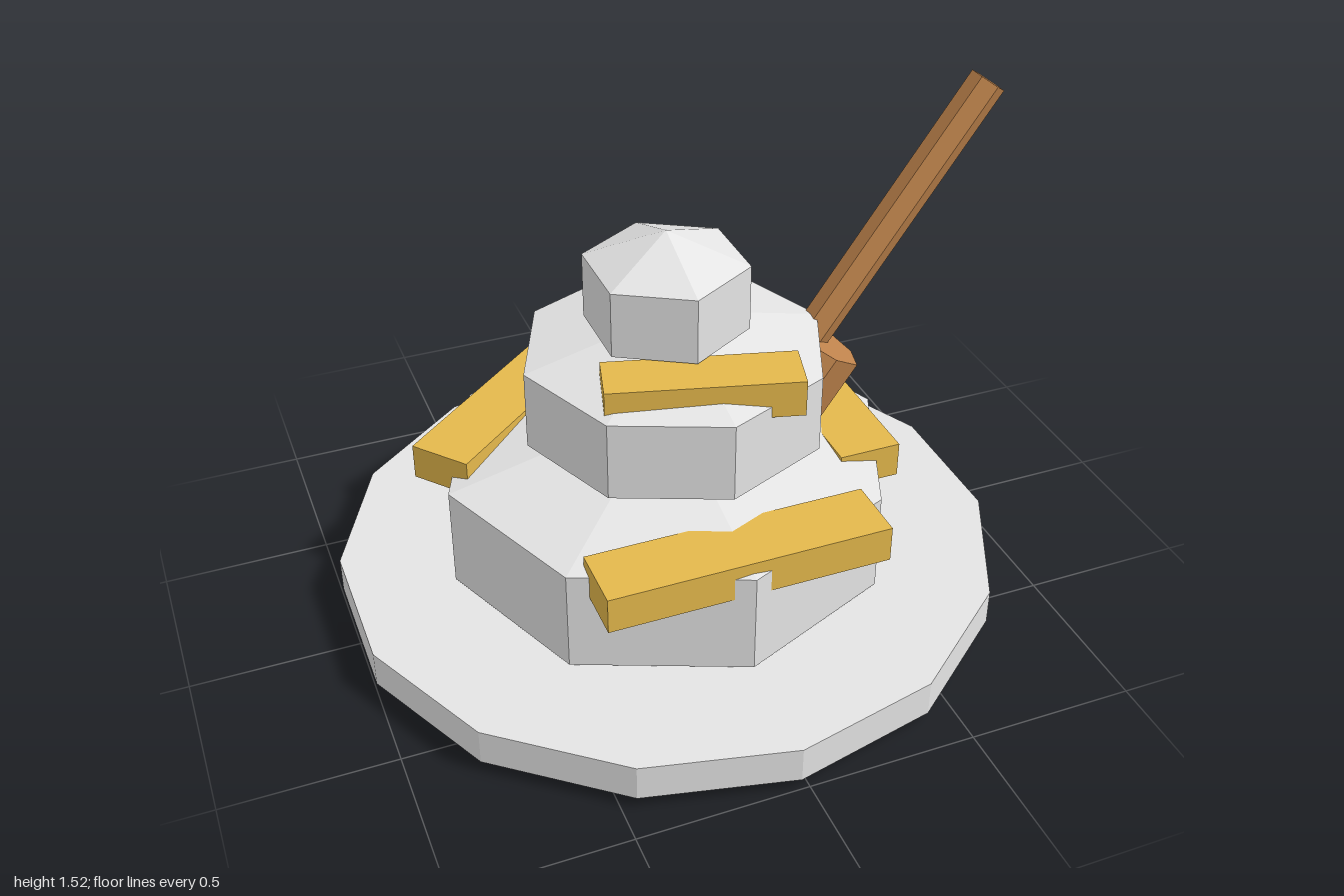
import * as THREE from 'three';

export function createModel() {
  const root = new THREE.Group();
  root.name = 'stoneCairn';

  const mat = (name, color) => {
    const m = new THREE.MeshStandardMaterial({ color, flatShading: true });
    m.name = name;
    return m;
  };
  const stone = mat('stone grey', 0xe4e4e4);
  const gold = mat('golden plank', 0xe4b84c);
  const wood = mat('brown wood', 0xc1854d);

  const add = (name, geometry, material, x, y, z, parent = root) => {
    const mesh = new THREE.Mesh(geometry, material);
    mesh.name = name;
    mesh.position.set(x, y, z);
    parent.add(mesh);
    return mesh;
  };

  // Flat base slab
  add('baseSlab', new THREE.CylinderGeometry(1, 1, 0.11, 14), stone, -0.025, 0.09, 0);

  // Stacked stones: prisms with shallow pyramid caps above and below
  const addStone = (name, sides, radius, x, low, high, cap) => {
    const profile = [[0, low - cap], [radius, low], [radius, high], [0, high + cap]]
      .map(([r, y]) => new THREE.Vector2(r, y));
    add(name, new THREE.LatheGeometry(profile, sides), stone, x, 0, 0);
  };
  addStone('lowerStone', 8, 0.673, -0.025, 0.157, 0.47, 0.157);
  addStone('middleStone', 8, 0.455, 0, 0.58, 0.822, 0.11);
  addStone('topStone', 6, 0.241, -0.025, 0.902, 1.103, 0.095);

  // Planks lodged in the stones: length, width, centre, turn about y
  const planks = [
    ['frontPlank', 0.835, 0.195, -0.025, 0.455, 0.553, 0],
    ['leftPlank', 0.775, 0.19, 0.502, 0.455, -0.087, Math.PI / 2],
    ['backPlank', 0.717, 0.191, -0.417, 0.48, -0.338, 0.698],
    ['upperPlank', 0.555, 0.16, -0.025, 0.843, 0.277, -0.264],
  ];
  for (const [name, length, width, x, y, z, turn] of planks) {
    add(name, new THREE.BoxGeometry(length, 0.11, width), gold, x, y, z).rotation.y = turn;
  }

  // Tilted pole in a thick socket
  const pole = new THREE.Group();
  pole.name = 'tiltedPole';
  pole.position.set(0.443, 0.759, 0);
  pole.rotation.z = -0.618;
  root.add(pole);
  add('poleSocket', new THREE.CylinderGeometry(0.165, 0.165, 0.35, 8), wood, 0, -0.175, 0, pole);
  add('poleShaft', new THREE.CylinderGeometry(0.055, 0.055, 1, 6), wood, 0, 0.395, 0, pole);

  return root;
}
